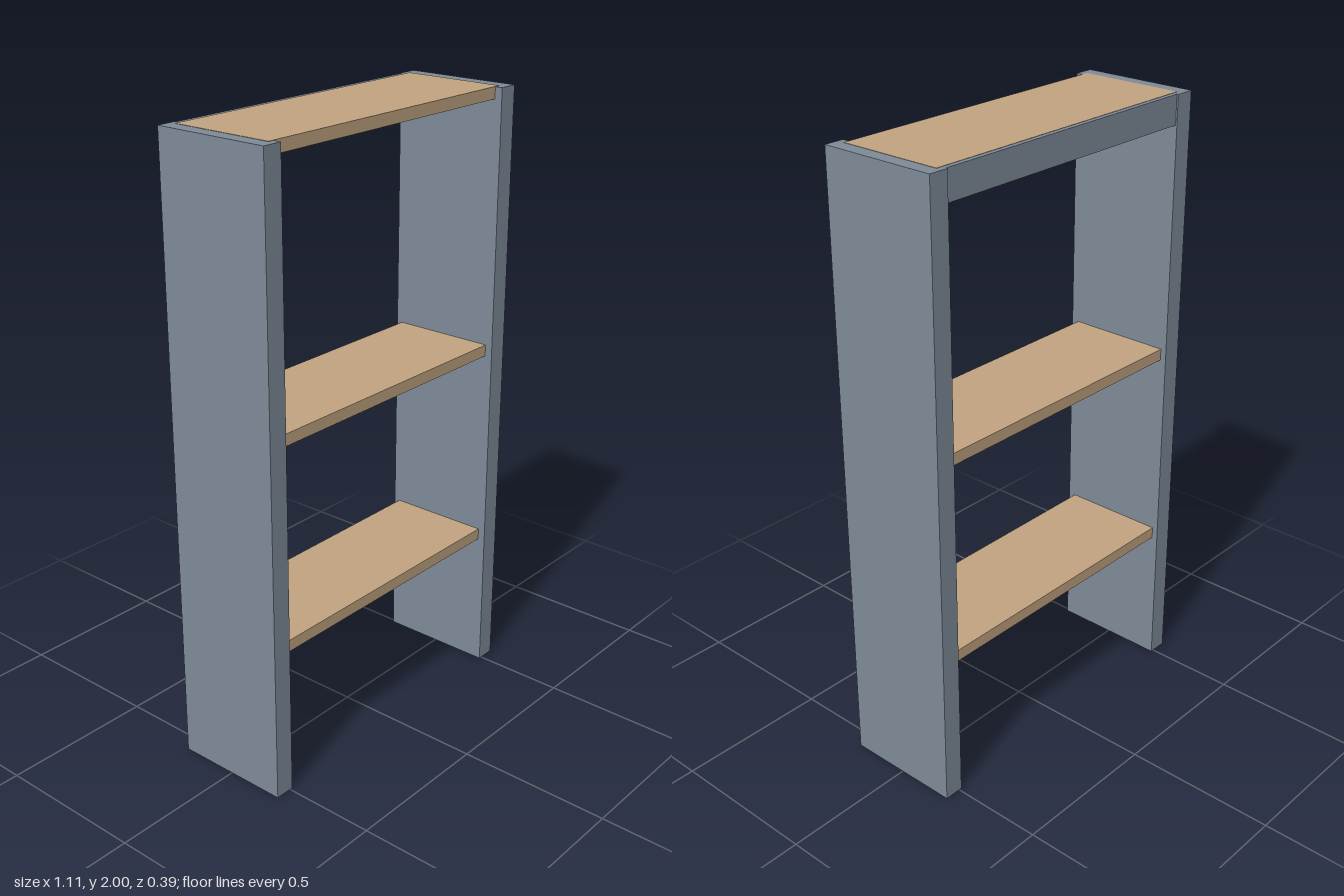
import * as THREE from 'three';

export function createModel() {
  const group = new THREE.Group();
  const greyPaint = new THREE.MeshStandardMaterial({ color: 0x7f8b99 });
  greyPaint.name = 'greyPaint';
  const wood = new THREE.MeshStandardMaterial({ color: 0xc2a480 });
  wood.name = 'wood';

  // Box given by its lower and upper corners
  function addBox(name, material, [x0, y0, z0], [x1, y1, z1]) {
    const mesh = new THREE.Mesh(new THREE.BoxGeometry(x1 - x0, y1 - y0, z1 - z0), material);
    mesh.position.set((x0 + x1) / 2, (y0 + y1) / 2, (z0 + z1) / 2);
    mesh.name = name;
    group.add(mesh);
  }

  // Upright side panels, a hair below the top board to keep flush faces apart
  const sideTop = 1.999;
  addBox('leftPanel', greyPaint, [0.49, 0, -0.195], [0.555, sideTop, 0.195]);
  addBox('rightPanel', greyPaint, [-0.555, 0, -0.195], [-0.49, sideTop, 0.195]);

  // Shelves, let into the panels at both ends
  const shelves = { lowerShelf: 0.465, middleShelf: 1.132, topShelf: 1.962 };
  for (const [name, y] of Object.entries(shelves)) {
    addBox(name, wood, [-0.51, y, -0.175], [0.51, y + 0.038, 0.17]);
  }

  // Rail under and behind the back edge of the top shelf
  addBox('backRail', greyPaint, [-0.5, 1.905, -0.19], [0.5, sideTop, -0.155]);

  return group;
}
